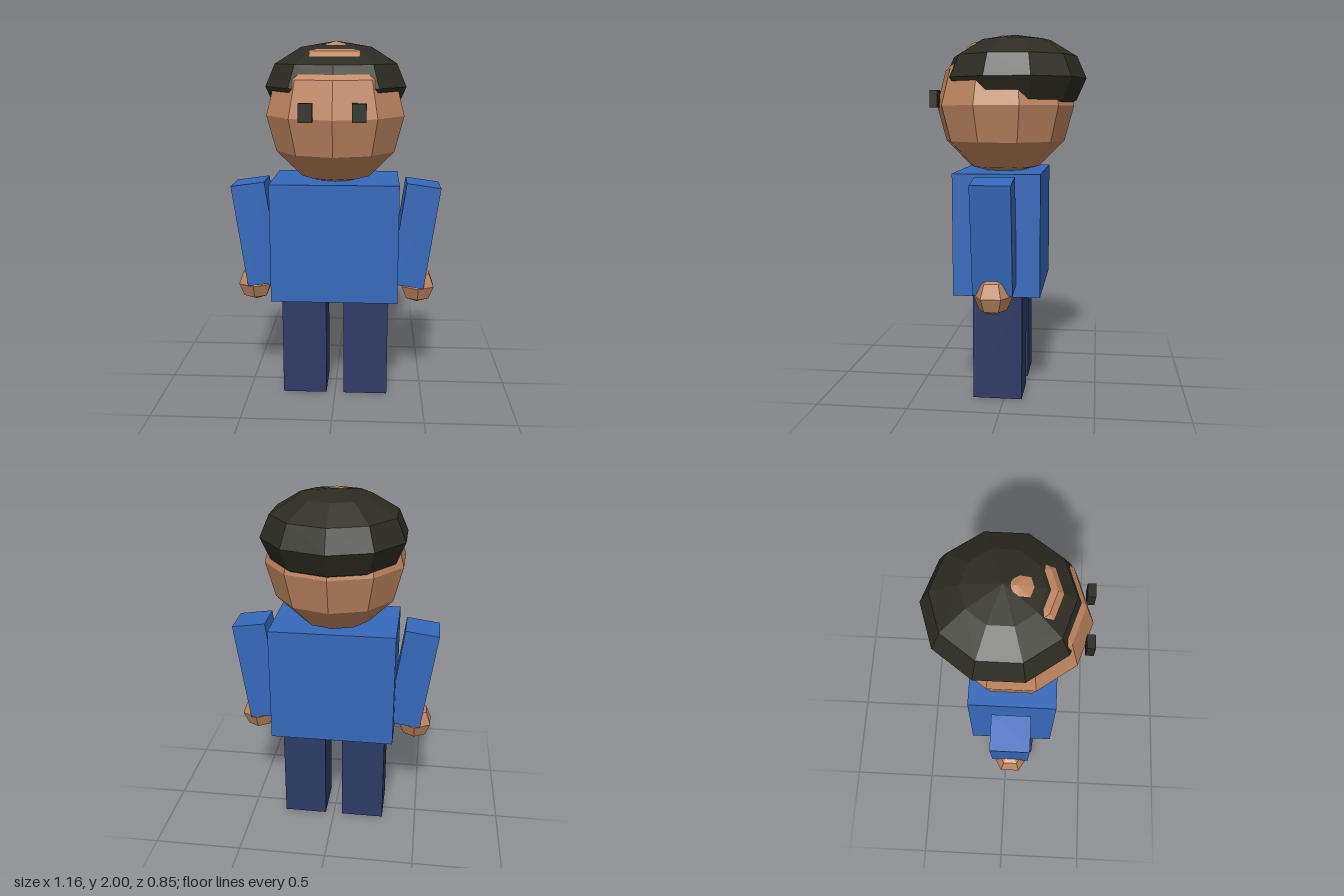
import * as THREE from 'three';

function material(name, color) {
  const m = new THREE.MeshStandardMaterial({ color, flatShading: true });
  m.name = name;
  return m;
}

export function createModel() {
  const model = new THREE.Group();
  model.name = 'blockyPerson';

  const blue = material('shirtBlue', 0x3669bb);
  const navy = material('trouserNavy', 0x2e3b66);
  const skin = material('skin', 0xc08660);
  const dark = material('darkHair', 0x2c2c21);

  const add = (name, geometry, mat, x, y, z) => {
    const mesh = new THREE.Mesh(geometry, mat);
    mesh.name = name;
    mesh.position.set(x, y, z);
    model.add(mesh);
    return mesh;
  };

  // Low-poly ball with corners on the z axis
  const ball = (r, sides, rings, squash = 1) =>
    new THREE.SphereGeometry(r, sides, rings).rotateY(Math.PI / 2).scale(1, squash, 1);

  // Body
  add('torso', new THREE.BoxGeometry(0.7, 0.66, 0.47), blue, 0, 0.922, 0.035);

  // Head, with a flattened hair cap set back so the face shows in front
  add('head', ball(0.39, 10, 6), skin, 0, 1.61, 0.031);
  add('hair', ball(0.4, 10, 6, 0.6), dark, 0, 1.76, -0.026);

  // Paired parts: +x is the left side
  for (const [side, s] of [['left', 1], ['right', -1]]) {
    add(side + 'Leg', new THREE.BoxGeometry(0.25, 0.6, 0.27), navy, s * 0.175, 0.3, 0.036);
    const arm = add(side + 'Arm', new THREE.BoxGeometry(0.19, 0.586, 0.21), blue, s * 0.447, 0.938, 0.034);
    arm.rotation.z = -s * 0.14;
    add(side + 'Hand', ball(0.105, 6, 4), skin, s * 0.47, 0.63, 0.035);
    add(side + 'Eye', new THREE.BoxGeometry(0.073, 0.095, 0.042), dark, s * 0.136, 1.647, 0.404);
  }

  return model;
}
